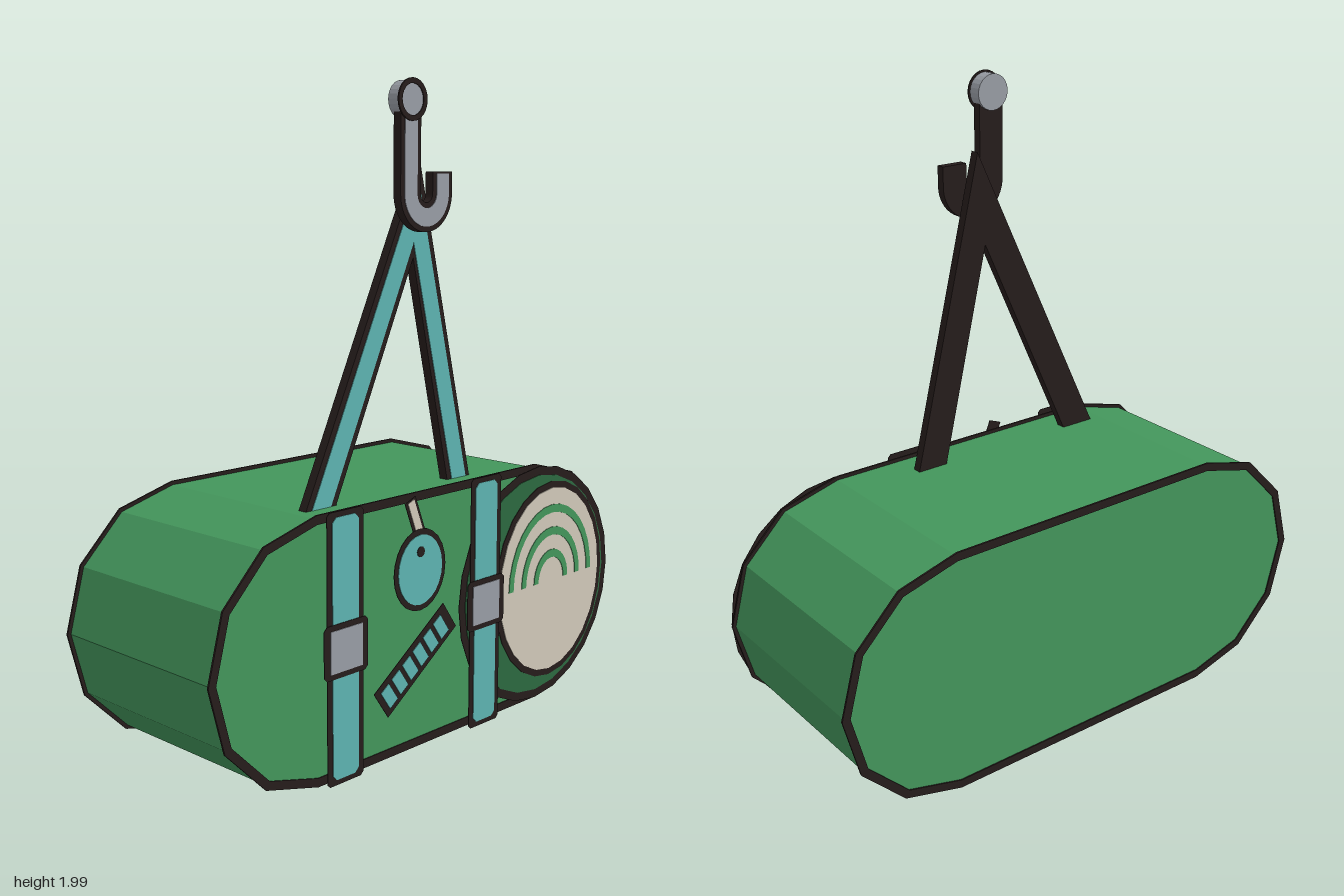
import * as THREE from 'three';

const mat = (name, color) => {
  const m = new THREE.MeshStandardMaterial({ color, side: THREE.DoubleSide, flatShading: true });
  m.name = name;
  return m;
};

export function createModel() {
  const model = new THREE.Group();
  model.name = 'duffelBag';
  const green = mat('bagGreen', 0x43955b);
  const darkGreen = mat('shadowGreen', 0x2c683f);
  const dark = mat('outlineDark', 0x251c1b);
  const teal = mat('strapTeal', 0x5db3b0);
  const cream = mat('canvasCream', 0xd0c8b8);
  const grey = mat('metalGrey', 0x989ca4);

  // Extruded flat part whose back lies at z
  const plate = (name, shape, material, z, depth = 0.002, seg = 12) => {
    const geo = new THREE.ExtrudeGeometry(shape, { depth, bevelEnabled: false, curveSegments: seg });
    const mesh = new THREE.Mesh(geo, material);
    mesh.name = name;
    mesh.position.z = z;
    model.add(mesh);
    return mesh;
  };
  const poly = (pts) => new THREE.Shape(pts.map(([x, y]) => new THREE.Vector2(x, y)));
  const rect = (x0, x1, y0, y1, c = 0) => poly(c
    ? [[x0 + c, y0], [x1 - c, y0], [x1, y0 + c], [x1, y1 - c], [x1 - c, y1], [x0 + c, y1], [x0, y1 - c], [x0, y0 + c]]
    : [[x0, y0], [x1, y0], [x1, y1], [x0, y1]]);
  const oval = (cx, cy, rx, ry = rx, n = 24) => poly(Array.from({ length: n }, (_, i) => {
    const a = (i / n) * Math.PI * 2;
    return [cx + rx * Math.cos(a), cy + ry * Math.sin(a)];
  }));
  const ring = (outer, inner) => {
    outer.holes.push(inner);
    return outer;
  };

  // Long body: stadium outline with six facets per end
  const CY = 0.405;
  const stadium = (r) => {
    const pts = [];
    for (const side of [1, -1]) {
      for (let i = 0; i <= 6; i++) {
        const a = -Math.PI / 2 + (i * Math.PI) / 6;
        pts.push([side * (0.49 + r * Math.cos(a)), CY + side * r * Math.sin(a)]);
      }
    }
    return poly(pts);
  };
  plate('body', stadium(0.385), green, -0.35, 0.637);
  plate('frontPiping', ring(stadium(0.397), stadium(0.37)), dark, 0.284, 0.006);
  plate('backPiping', ring(stadium(0.397), stadium(0.37)), dark, -0.354, 0.006);

  // Round end pocket with cream face and arched stripes
  plate('pocketRim', oval(0.49, CY, 0.39), dark, 0.301);
  plate('pocketPanel', oval(0.49, CY, 0.362), darkGreen, 0.303);
  plate('faceRim', oval(0.557, 0.408, 0.285, 0.33), dark, 0.305);
  plate('face', oval(0.557, 0.408, 0.264, 0.308), cream, 0.307);
  for (const r of [0.22, 0.155, 0.09]) {
    const pts = [];
    for (let i = 0; i <= 16; i++) pts.push([r, (i * Math.PI) / 16]);
    for (let i = 16; i >= 0; i--) pts.push([r - 0.023, (i * Math.PI) / 16]);
    plate('archStripe', poly(pts.map(([q, a]) => [0.557 + q * Math.cos(a), 0.405 + q * 1.16 * Math.sin(a)])), green, 0.309);
  }

  // Two vertical straps with buckles
  for (const x of [-0.405, 0.212]) {
    plate('strapEdge', rect(x - 0.072, x + 0.072, 0.006, 0.808, 0.01), dark, 0.312);
    plate('strap', rect(x - 0.052, x + 0.052, 0.022, 0.792, 0.015), teal, 0.314);
    plate('buckleEdge', rect(x - 0.088, x + 0.088, 0.325, 0.485, 0.012), dark, 0.316);
    plate('buckle', rect(x - 0.064, x + 0.064, 0.342, 0.468), grey, 0.318);
  }

  // Slanted ribbed patch
  const place = (mesh, x, y, angle) => {
    mesh.position.x = x;
    mesh.position.y = y;
    mesh.rotation.z = angle;
  };
  const tilt = THREE.MathUtils.degToRad(35);
  place(plate('patchEdge', rect(-0.183, 0.183, -0.052, 0.052), dark, 0.33), -0.127, 0.307, tilt);
  for (let i = 0; i < 6; i++) {
    const x = -0.163 + i * 0.055;
    place(plate('patchRib', rect(x, x + 0.04, -0.034, 0.034), teal, 0.333), -0.127, 0.307, tilt);
  }

  // Hanging tag on a cord
  const cordTilt = Math.atan2(0.13, -0.052) - Math.PI / 2;
  place(plate('cordEdge', rect(-0.024, 0.024, -0.07, 0.07), dark, 0.341), -0.142, 0.735, cordTilt);
  place(plate('cord', rect(-0.014, 0.014, -0.065, 0.065), cream, 0.343), -0.142, 0.735, cordTilt);
  plate('tagEdge', oval(-0.127, 0.585, 0.112, 0.124), dark, 0.344);
  plate('tag', oval(-0.127, 0.585, 0.095, 0.106), teal, 0.346);
  plate('tagHole', oval(-0.127, 0.64, 0.016, 0.016, 12), dark, 0.348);

  // Carrying strap: inverted V rising from the top of the body
  plate('handleBack', poly([[-0.455, 0.785], [0.016, 1.775], [0.258, 0.785], [0.153, 0.785], [-0.01, 1.485], [-0.335, 0.785]]), dark, 0.175, 0.03);
  plate('handleFront', poly([[-0.43, 0.79], [0.009, 1.72], [0.238, 0.79], [0.172, 0.79], [-0.01, 1.53], [-0.355, 0.79]]), teal, 0.205);

  // J-shaped hook
  const hook = (outer, inner, tipY) => {
    const s = new THREE.Shape();
    s.moveTo(-outer, 1.91);
    s.lineTo(-outer, 1.673);
    s.absarc(0, 1.673, outer, Math.PI, Math.PI * 2, false);
    s.lineTo(outer, tipY);
    s.lineTo(inner, tipY);
    s.lineTo(inner, 1.673);
    s.absarc(0, 1.673, inner, Math.PI * 2, Math.PI, true);
    s.lineTo(-inner, 1.91);
    s.closePath();
    return s;
  };
  plate('hookBack', hook(0.112, 0.026, 1.736), dark, 0.22, 0.028);
  plate('hookFront', hook(0.096, 0.042, 1.73), grey, 0.248);

  // Round stud at the top of the hook
  plate('stud', oval(-0.07, 1.94, 0.055), grey, 0.21, 0.044);
  plate('studRim', ring(oval(-0.07, 1.94, 0.061), oval(-0.07, 1.94, 0.045)), dark, 0.252, 0.005);

  return model;
}
